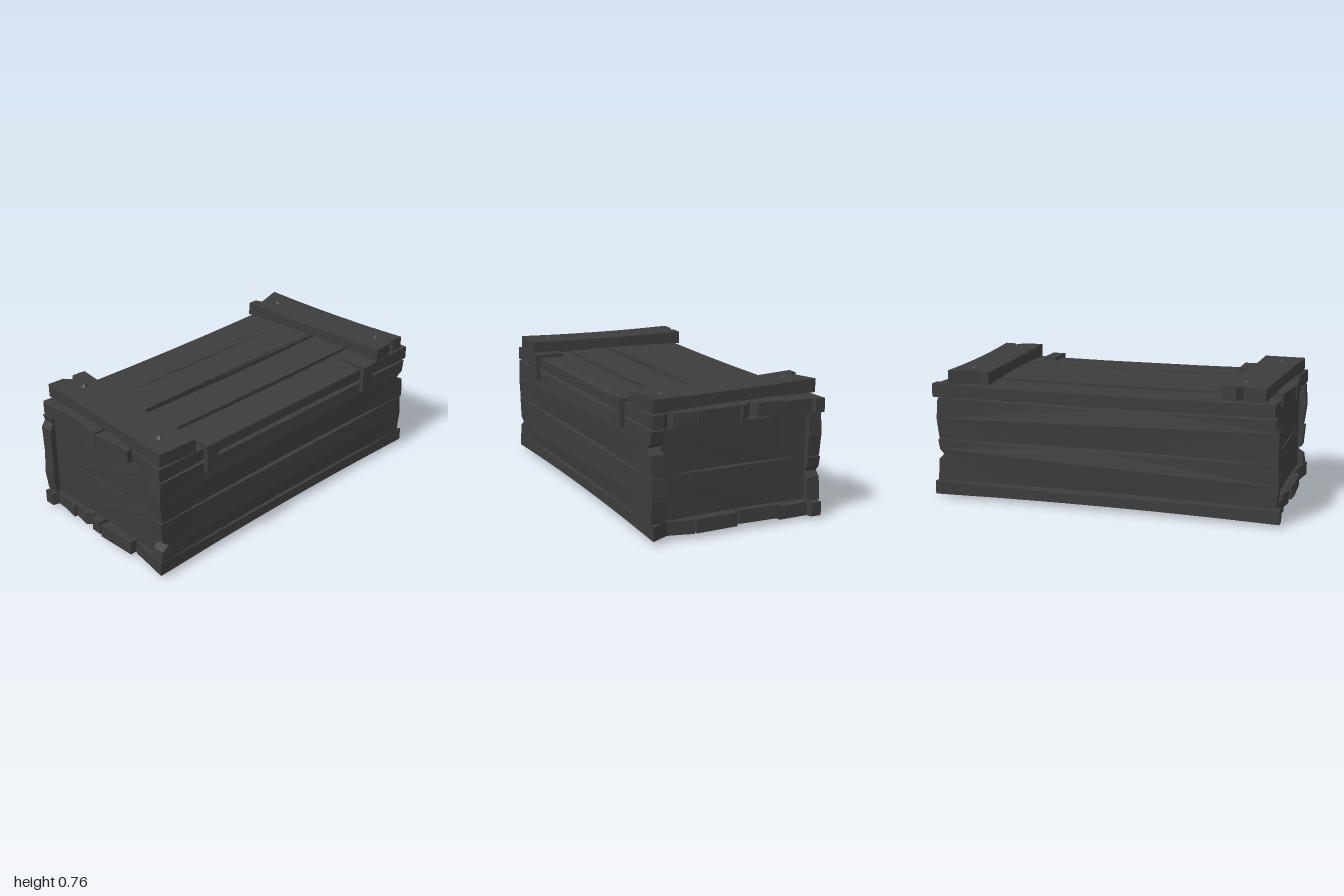
import * as THREE from 'three';

const wood = new THREE.MeshStandardMaterial({ color: 0x3c3c3c, flatShading: true, roughness: 1 });
const iron = new THREE.MeshStandardMaterial({ color: 0x3c3c3c, flatShading: true, roughness: 1 });

const X = new THREE.Vector3(1, 0, 0), Y = new THREE.Vector3(0, 1, 0), Z = new THREE.Vector3(0, 0, 1);
const STRAIGHT = [[-0.5, 0], [0.5, 0]];

// A worn board: u runs along the length, v across the width, w through the thickness.
// Each chipped end is a list of [position across the width, depth cut from the end].
function plank(name, { size: [len, wid, thick], at, u, v, near = STRAIGHT, far = STRAIGHT, waist = 0.01, skew = 0 }) {
  const h = len / 2, pts = [];
  const mids = [-0.6, -0.3, 0, 0.3, 0.6];
  for (const m of mids) pts.push([m * h, -wid / 2]);
  for (const [f, d] of far) pts.push([h - d, f * wid]);
  for (const m of [...mids].reverse()) pts.push([m * h, wid / 2]);
  for (const [f, d] of [...near].reverse()) pts.push([-h + d, f * wid]);
  const shape = new THREE.Shape(pts.map(([a, b]) => new THREE.Vector2(a, b)));
  const geo = new THREE.ExtrudeGeometry(shape, { depth: thick, bevelEnabled: false });
  geo.translate(0, 0, -thick / 2);
  // slimmer towards the middle, and optionally nailed on askew
  const p = geo.attributes.position;
  for (let i = 0; i < p.count; i++) {
    const a = p.getX(i), b = p.getY(i), c = p.getZ(i);
    const inset = waist * (1 - (a / h) ** 2);
    p.setY(i, b * (1 - 2 * inset / wid) + skew * a);
    p.setZ(i, c * (1 - 2 * inset / thick));
  }
  geo.applyMatrix4(new THREE.Matrix4().makeBasis(u, v, u.clone().cross(v)));
  geo.translate(...at);
  geo.computeVertexNormals();
  const mesh = new THREE.Mesh(geo, wood);
  mesh.name = name;
  return mesh;
}

// Low domed nail head, pointing up or down
function nail(name, x, y, z, up) {
  const mesh = new THREE.Mesh(new THREE.ConeGeometry(0.032, 0.022, 6), iron);
  mesh.position.set(x, y, z);
  if (!up) mesh.rotation.x = Math.PI;
  mesh.name = name;
  return mesh;
}

// L-shaped strap folded over the lid edge
function strap(z) {
  const s = new THREE.Shape();
  [[0.34, 0.655], [0.34, 0.69], [0.512, 0.69], [0.512, 0.53], [0.485, 0.53], [0.485, 0.655]]
    .forEach(([x, y], i) => (i ? s.lineTo(x, y) : s.moveTo(x, y)));
  const geo = new THREE.ExtrudeGeometry(s, { depth: 0.08, bevelEnabled: false });
  geo.translate(0, 0, z - 0.04);
  const mesh = new THREE.Mesh(geo, iron);
  mesh.name = 'strap';
  return mesh;
}

export function createModel() {
  const crate = new THREE.Group();
  crate.name = 'crate';
  const xs = [-0.385, -0.14, 0.115, 0.368];
  const down = Z.clone().negate();

  // Lid and floor boards run front to back
  const lidEnds = [
    { near: [[-0.5, 0], [-0.27, 0], [-0.22, 0.02], [0.5, 0.035]], far: [[-0.5, 0.05], [0, 0.04], [0.5, 0.06]] },
    { near: [[-0.5, 0.015], [0.1, 0.025], [0.2, 0.07], [0.4, 0.02], [0.5, 0.01]], far: [[-0.5, 0.05], [0.5, 0.02]] },
    { near: [[-0.5, 0.015], [0.5, 0.01]], far: [[-0.5, 0.015], [0.5, 0.03]] },
    { near: [[-0.5, 0], [0, 0.02], [0.1, 0.045], [0.25, 0.01], [0.5, 0.01]], far: [[-0.5, 0.05], [0.3, 0.03], [0.5, 0.025]] },
  ];
  const floorEnds = [
    { near: [[-0.5, 0], [-0.25, 0], [-0.2, 0.03], [0.5, 0.03]], far: [[-0.5, 0.012], [-0.25, 0.012], [-0.2, 0.05], [0.1, 0.045], [0.5, 0.03]] },
    { near: [[-0.5, 0.02], [0.5, 0.03]], far: [[-0.5, 0.04], [-0.03, 0.02], [0.2, 0.075], [0.24, 0.015], [0.5, 0.015]] },
    { near: [[-0.5, 0.02], [0.5, 0.015]], far: [[-0.5, 0.012], [0.5, 0.02]] },
    { near: [[-0.5, 0.015], [0.1, 0.05], [0.5, 0]], far: [[-0.5, 0.05], [0.2, 0.025], [0.5, 0.012]] },
  ];
  xs.forEach((x, i) => {
    const size = [2, 0.242, 0.076];
    const lidY = [0.625, 0.635, 0.635, 0.635][i], floorY = [0.055, 0.07, 0.064, 0.064][i];
    crate.add(plank('lidBoard', { size, at: [x, lidY, 0], u: Z, v: X, ...lidEnds[i] }));
    crate.add(plank('floorBoard', { size, at: [x, floorY, 0], u: Z, v: X, ...floorEnds[i] }));
  });

  // Two boards on each side, with split ends
  const split = (f, d) => [[-0.5, 0.01], [f - 0.12, 0.02], [f, d], [f + 0.12, 0.025], [0.5, 0.015]];
  const worn = [[-0.5, 0.025], [0, 0.01], [0.5, 0.02]];
  const sides = [
    [0.45, 0.222, worn, split(-0.12, 0.065)],
    [0.452, 0.468, split(0.1, 0.075), worn],
    [-0.467, 0.22, split(0.15, 0.05), worn],
    [-0.467, 0.462, worn, [[-0.5, 0.02], [0.2, 0.015], [0.35, 0.04], [0.5, 0.03]]],
  ];
  for (const [x, y, near, far] of sides)
    crate.add(plank('sideBoard', { size: [1.98, 0.24, 0.076], at: [x, y, 0], u: Z, v: Y, near, far }));

  // Two boards closing each end, set between the sides
  for (const z of [-0.905, 0.905])
    for (const y of [0.222, 0.464])
      crate.add(plank('endBoard', { size: [0.86, 0.244, 0.07], at: [-0.01, y, z], u: X, v: Y, waist: 0.007 }));

  // Crooked battens across the lid
  crate.add(plank('frontBatten', {
    size: [1, 0.238, 0.075], at: [-0.013, 0.708, 0.81], u: X, v: down, skew: -0.058, waist: 0.007,
    near: [[-0.5, 0], [-0.1, 0.005], [0.05, 0.045], [0.17, 0.01], [0.5, 0.015]],
    far: [[-0.5, 0.015], [0.5, 0.005]],
  }));
  crate.add(plank('backBatten', {
    size: [1, 0.24, 0.075], at: [-0.013, 0.708, -0.805], u: X, v: down, skew: 0.062, waist: 0.007,
    near: [[-0.5, 0.01], [-0.25, 0.01], [-0.2, 0.05], [0.35, 0.01], [0.5, 0]],
    far: [[-0.5, 0], [0, 0.005], [0.17, 0.055], [0.22, 0.02], [0.5, 0.015]],
  }));

  // Nails in the battens and under the floor
  for (const [x, z] of [[-0.38, -0.79], [0.37, -0.84], [-0.36, 0.77], [0.34, 0.84]])
    crate.add(nail('battenNail', x, 0.748, z, true));
  for (const [x, y, z] of [[-0.395, 0.011, -0.8], [0.35, 0.021, -0.82], [-0.355, 0.013, 0.84], [0.355, 0.021, 0.8]])
    crate.add(nail('floorNail', x, y, z, false));

  // Straps along the left edge
  crate.add(strap(-0.61), strap(0.63));
  return crate;
}
